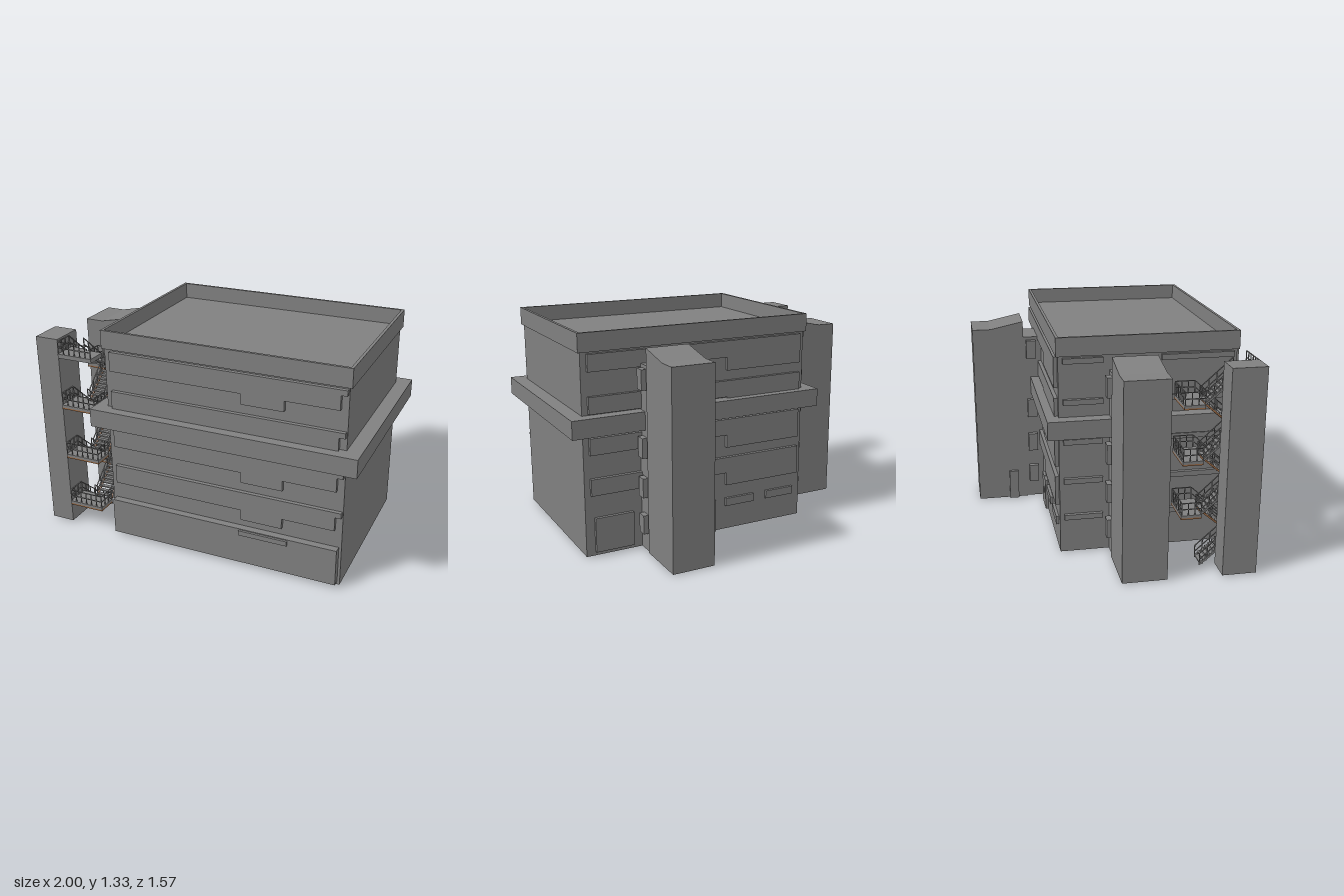
import * as THREE from 'three';

export function createModel() {
  const model = new THREE.Group();
  const grey = new THREE.MeshStandardMaterial({ color: 0x808080 });
  grey.name = 'concrete grey';
  const brown = new THREE.MeshStandardMaterial({ color: 0x9a6a45 });
  brown.name = 'rust brown';

  // Box from its minimum and maximum corners
  function box(name, x0, x1, y0, y1, z0, z1, parent = model, mat = grey) {
    const m = new THREE.Mesh(new THREE.BoxGeometry(x1 - x0, y1 - y0, z1 - z0), mat);
    m.position.set((x0 + x1) / 2, (y0 + y1) / 2, (z0 + z1) / 2);
    m.name = name;
    parent.add(m);
    return m;
  }

  // Thin square bar between two points
  function bar(name, a, b, t, parent, mat = grey) {
    const p = new THREE.Vector3(...a), q = new THREE.Vector3(...b);
    const m = new THREE.Mesh(new THREE.BoxGeometry(t, t, p.distanceTo(q)), mat);
    m.position.copy(p).add(q).multiplyScalar(0.5);
    m.lookAt(q);
    m.name = name;
    parent.add(m);
  }

  // Outline in x and y, pushed out from z0 to z1
  function plate(name, points, z0, z1, parent = model) {
    const shape = new THREE.Shape(points.map(p => new THREE.Vector2(...p)));
    const g = new THREE.ExtrudeGeometry(shape, { depth: z1 - z0, bevelEnabled: false });
    const m = new THREE.Mesh(g, grey);
    m.position.z = z0;
    m.name = name;
    parent.add(m);
    return m;
  }

  // Main block, overhanging ledge and roof parapet
  box('mainBlock', -0.545, 0.915, 0.005, 1.23, -0.345, 0.7);
  box('ledge', -0.62, 1.0, 0.745, 0.855, -0.418, 0.783);
  const parapet = new THREE.Group();
  parapet.name = 'parapet';
  model.add(parapet);
  const [py0, py1, pt] = [1.215, 1.325, 0.017];
  box('parapetFront', -0.56, 0.93, py0, py1, 0.711 - pt, 0.711, parapet);
  box('parapetBack', -0.56, 0.93, py0, py1, -0.358, -0.358 + pt, parapet);
  box('parapetRight', -0.56, -0.56 + pt, py0, py1, -0.358 + pt, 0.711 - pt, parapet);
  box('parapetLeft', 0.93 - pt, 0.93, py0, py1, -0.358 + pt, 0.711 - pt, parapet);

  // Raised facade bands on each upper storey
  for (const top of [1.205, 0.963, 0.723, 0.48]) {
    const lo = top - 0.117, step = top - 0.18, lip = top - 0.032;
    plate('frontBand', [[-0.505, lo], [0.315, lo], [0.315, step], [0.565, step], [0.565, lo],
      [0.875, lo], [0.875, lip], [0.91, lip], [0.91, top], [-0.505, top]], 0.69, 0.724);
    plate('backBand', [[-0.515, step], [0.0, step], [0.0, top - 0.1], [0.88, top - 0.1],
      [0.88, top], [-0.515, top]], -0.367, -0.34);
  }
  for (const top of [1.205, 0.963, 0.723, 0.48, 0.25]) {
    box('sideStripBack', -0.567, -0.54, top - 0.032, top, -0.32, -0.09);
    box('sideStripFront', -0.567, -0.54, top - 0.032, top, 0.25, 0.68);
  }

  // Ground floor panels, canopy, doors and windows
  box('groundPanel', -0.525, 0.9, 0.025, 0.25, 0.69, 0.744);
  box('canopy', 0.315, 0.61, 0.215, 0.245, 0.69, 0.758);
  box('backPanel', 0.62, 0.86, 0.03, 0.24, -0.365, -0.34);
  for (const x of [0.07, 0.155]) box('backDoor', x, x + 0.075, 0.005, 0.21, -0.362, -0.34);
  for (const x of [-0.2, -0.49]) box('backWindow', x, x + 0.2, 0.16, 0.21, -0.362, -0.34);

  // Service tower with sloped top, running out along local x, width along local z
  function tower(name) {
    const g = new THREE.Group();
    g.name = name;
    plate('towerShaft', [[0.1, 0.005], [0.425, 0.005], [0.425, 1.185], [0.31, 1.185], [0.1, 1.23]],
      -0.131, 0.131, g);
    box('connector', -0.03, 0.1, 0.005, 1.125, -0.122, 0.122, g);
    for (const [y0, y1] of [[0.12, 0.235], [0.345, 0.463], [0.585, 0.705], [0.985, 1.105]]) {
      for (const s of [-1, 1]) {
        const z = s * 0.137;
        box('connectorWindow', 0.022, 0.083, y0, y1, z - 0.017, z + 0.017, g);
      }
    }
    box('towerDoor', 0.16, 0.22, 0.005, 0.2, 0.12, 0.152, g);
    model.add(g);
    return g;
  }
  const back = tower('backTower');
  back.position.set(0.44, 0, -0.36);
  back.rotation.y = Math.PI / 2;
  // The back tower has its door on the opposite flank
  back.getObjectByName('towerDoor').position.z *= -1;
  const side = tower('sideTower');
  side.position.set(-0.56, 0, 0.072);
  side.rotation.y = Math.PI;
  side.getObjectByName('towerDoor').position.set(0.26, 0.1025, -0.136);

  // Slim tower beside the stairs
  box('slimTower', -1.0, -0.853, 0.008, 1.23, 0.52, 0.72);

  // Outdoor stairs: flights alternate between two lanes
  const stairs = new THREE.Group();
  stairs.name = 'outdoorStairs';
  model.add(stairs);
  const levels = [0, 0.16, 0.325, 0.49, 0.655, 0.82, 0.985, 1.145];
  const rail = 0.075, steps = 9;
  const [xl, xm, xr] = [-0.848, -0.735, -0.622];
  const railing = (a, b, posts) => {
    const up = (p, h) => [p[0], p[1] + h, p[2]];
    for (const h of [rail, rail / 2]) bar('handrail', up(a, h), up(b, h), 0.005, stairs);
    for (let i = 0; i <= posts; i++) {
      const p = a.map((v, k) => v + (b[k] - v) * i / posts);
      bar('railPost', p, [p[0], p[1] + rail, p[2] + 1e-5], 0.005, stairs);
    }
  };
  for (let i = 0; i < 7; i++) {
    const y0 = levels[i], y1 = levels[i + 1], forward = i % 2 === 0;
    const [x0, x1] = forward ? [xl, xm - 0.004] : [xm + 0.004, xr];
    const [z0, z1] = forward ? [0.43, 0.61] : [0.61, 0.43];
    // Treads
    for (let k = 0; k < steps; k++) {
      const y = y0 + (y1 - y0) * (k + 1) / steps, z = z0 + (z1 - z0) * (k + 0.5) / steps;
      box('tread', x0, x1, y - 0.008, y, z - 0.011, z + 0.011, stairs);
    }
    // Stringers and flight railings
    for (const x of [x0 + 0.004, x1 - 0.004]) {
      bar('stringer', [x, y0 + 0.006, z0], [x, y1 - 0.006, z1], 0.01, stairs, forward ? grey : brown);
      railing([x, y0, z0], [x, y1, z1], 4);
    }
    // Landing with rusted soffit
    const [a, b] = forward ? [0.61, 0.732] : [0.31, 0.43];
    box('landing', xl, xr, y1 - 0.016, y1, a, b, stairs);
    box('landingSoffit', xl, xr, y1 - 0.025, y1 - 0.016, a, b, stairs, i === 6 ? grey : brown);
    const outer = forward ? b - 0.004 : a + 0.004, inner = forward ? a : b;
    railing([xl + 0.003, y1, outer], [xr - 0.003, y1, outer], 6);
    railing([xl + 0.003, y1, inner], [xl + 0.003, y1, outer], 3);
    if (i < 6) railing([xr - 0.003, y1, inner], [xr - 0.003, y1, outer], 3);
  }
  return model;
}
